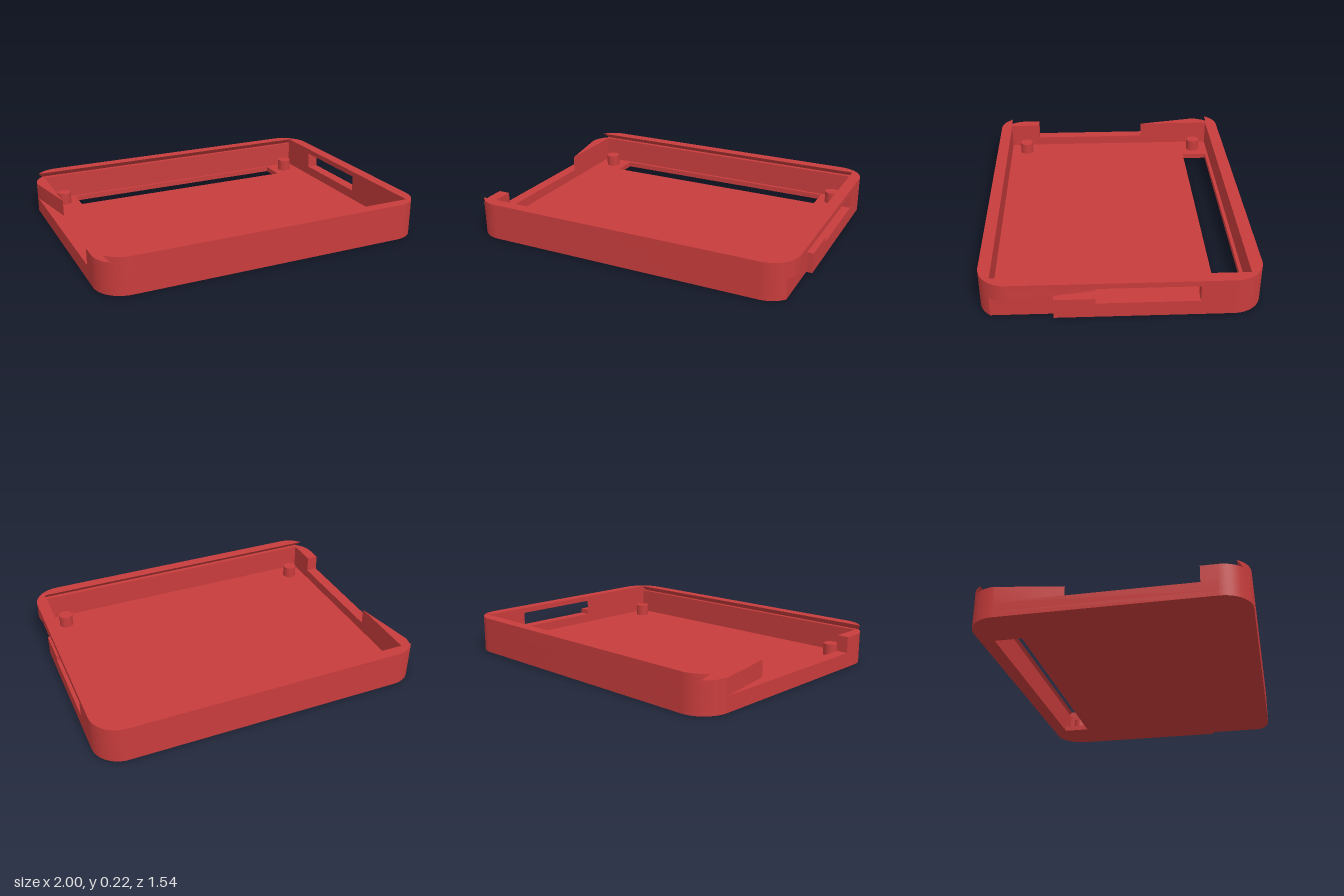
import * as THREE from 'three';
import { toCreasedNormals } from 'three/addons/utils/BufferGeometryUtils.js';

const R = 0.165, CX = 1 - R, CZ = 0.768 - R;    // rounded plan corners
const IX = 0.93, IZ = 0.705;                    // square cavity
const FLOOR = 0.032, SILL = 0.09, NOTCH = 0.12, LEDGE = 0.187, TOP = 0.22;
const GROOVE = 0.732, LIP = 0.70;               // dovetail half widths, bottom and top
const PI = Math.PI;

export function createModel() {
  const model = new THREE.Group();
  model.name = 'slidingLidCase';
  const red = new THREE.MeshStandardMaterial({ color: 0xc83c3c });
  red.name = 'red';

  const add = (name, geometry) => {
    const mesh = new THREE.Mesh(geometry, red);
    mesh.name = name;
    model.add(mesh);
    return mesh;
  };

  // Extrudes a plan shape (x, z) between two heights
  const slab = (shape, y0, y1) => new THREE.ExtrudeGeometry(shape, { depth: y1 - y0, bevelEnabled: false, curveSegments: 12 })
    .rotateX(PI / 2).translate(0, y1, 0);
  const addSlab = (name, shape, y0, y1) => add(name, toCreasedNormals(slab(shape, y0, y1), 0.5));

  const corner = (s, sx, sz, a0, a1) => s.absarc(sx * CX, sz * CZ, R, a0, a1, false);
  const lines = (s, pts) => pts.forEach(([x, z]) => s.lineTo(x, z));
  const rectHole = (x0, x1, z0, z1) => new THREE.Path([[x0, z0], [x1, z0], [x1, z1], [x0, z1]].map(p => new THREE.Vector2(...p)));

  // Left front corner, with or without the shallow outside recess
  const frontLeft = (s, notched) => {
    if (notched) {
      const a = Math.acos((0.965 - CX) / R);
      lines(s, [[1, 0.365], [0.965, 0.365]]);
      corner(s, 1, 1, a, PI / 2);
    } else corner(s, 1, 1, 0, PI / 2);
  };

  const fullOutline = hole => {
    const s = new THREE.Shape();
    s.moveTo(1, -CZ);
    frontLeft(s, true);
    corner(s, -1, 1, PI / 2, PI);
    corner(s, -1, -1, PI, 1.5 * PI);
    corner(s, 1, -1, 1.5 * PI, 2 * PI);
    s.holes.push(hole);
    return s;
  };

  // Wall round the front, from the side window to the side gap
  const frontWall = notched => {
    const s = new THREE.Shape();
    s.moveTo(1, 0.14);
    frontLeft(s, notched);
    corner(s, -1, 1, PI / 2, PI);
    lines(s, [[-1, 0.51], [-IX, 0.51], [-IX, IZ], [IX, IZ], [IX, 0.14]]);
    return s;
  };

  // Wall round the back, from the side gap to the side window
  const backWall = new THREE.Shape();
  backWall.moveTo(-1, -0.23);
  corner(backWall, -1, -1, PI, 1.5 * PI);
  corner(backWall, 1, -1, 1.5 * PI, 2 * PI);
  lines(backWall, [[1, -0.42], [IX, -0.42], [IX, -IZ], [-IX, -IZ], [-IX, -0.23]]);

  addSlab('floor', fullOutline(rectHole(-0.735, 0.735, -0.685, -0.525)), 0, FLOOR);
  addSlab('lowerWall', fullOutline(rectHole(-IX, IX, -IZ, IZ)), FLOOR, SILL);
  addSlab('frontWallRecessed', frontWall(true), SILL, NOTCH);
  addSlab('frontWall', frontWall(false), NOTCH, LEDGE);
  addSlab('backWall', backWall, SILL, LEDGE);

  // Rim with an undercut groove for a sliding lid, open on the right side
  const rim = new THREE.Shape();
  const a = Math.asin((GROOVE - CZ) / R);
  corner(rim, -1, -1, PI + a, 1.5 * PI);
  corner(rim, 1, -1, 1.5 * PI, 2 * PI);
  corner(rim, 1, 1, 0, PI / 2);
  corner(rim, -1, 1, PI / 2, PI - a);
  lines(rim, [[IX, GROOVE], [IX, -GROOVE]]);
  const rimGeometry = slab(rim, LEDGE, TOP);
  const p = rimGeometry.attributes.position;
  const lipX = -CX - Math.sqrt(R * R - (LIP - CZ) ** 2);
  for (let i = 0; i < p.count; i++) {
    // Lean the inner top edges over the groove
    if (p.getY(i) > TOP - 0.001 && Math.abs(Math.abs(p.getZ(i)) - GROOVE) < 0.0005 && (p.getX(i) < 0 || Math.abs(p.getX(i) - IX) < 0.0005)) {
      p.setZ(i, Math.sign(p.getZ(i)) * LIP);
      if (p.getX(i) < 0) p.setX(i, lipX);
    }
  }
  add('grooveRim', toCreasedNormals(rimGeometry, 0.5));

  // Locating pegs
  for (const x of [-0.83, 0.83]) for (const z of [-0.603, 0.598]) {
    add('peg', new THREE.CylinderGeometry(0.043, 0.043, 0.105 - FLOOR, 32))
      .position.set(x, (0.105 + FLOOR) / 2, z);
  }
  return model;
}
